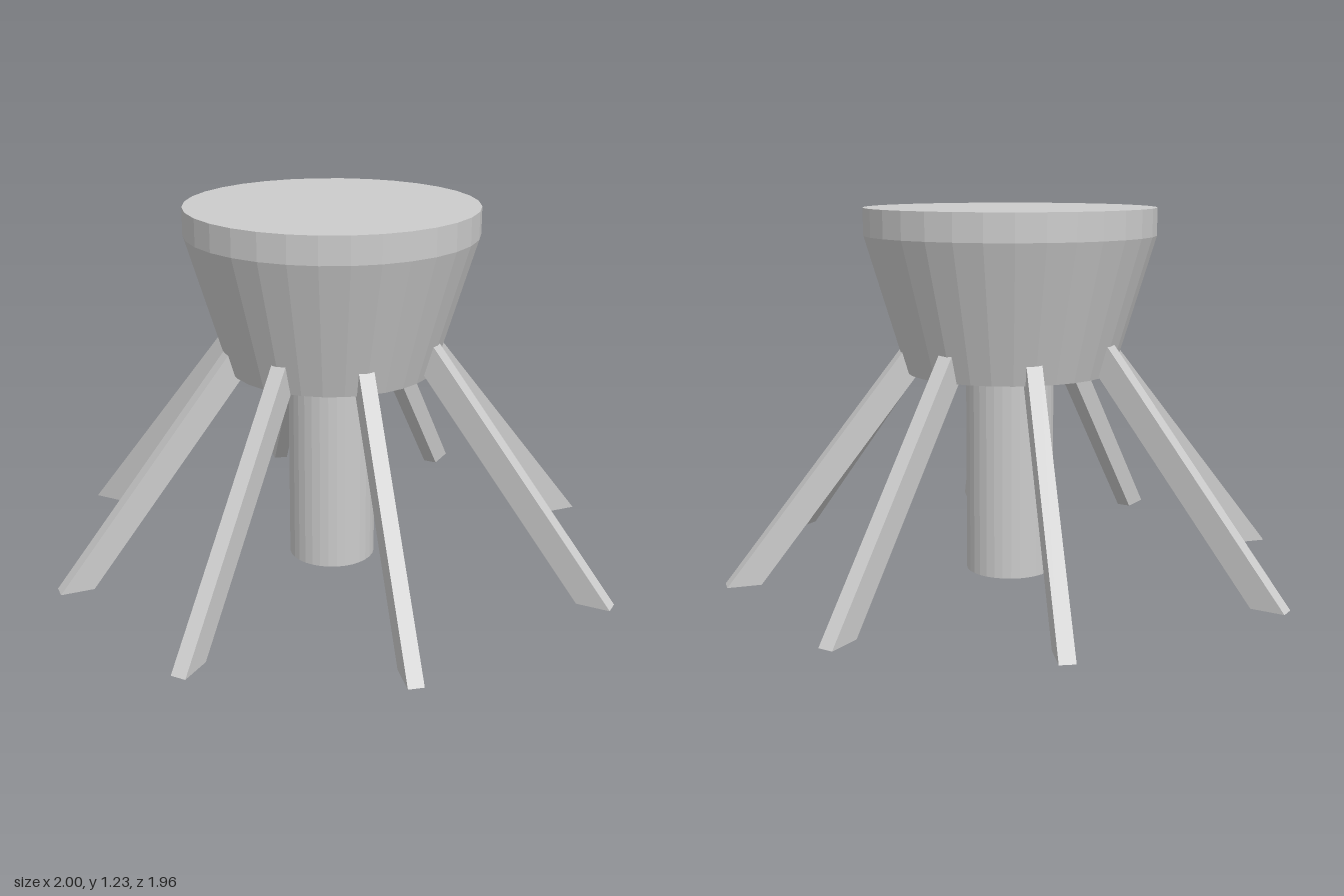
import * as THREE from 'three';

export function createModel() {
  const model = new THREE.Group();
  const material = new THREE.MeshStandardMaterial({ color: 0xcccccc, flatShading: true });
  const centre = -0.006; // tank and column sit a touch off the leg centre
  const sides = 32;

  function add(geometry, name, x, y, z) {
    const mesh = new THREE.Mesh(geometry, material);
    mesh.name = name;
    mesh.position.set(x, y, z);
    model.add(mesh);
    return mesh;
  }

  // Tank: tapered bowl with a straight rim and flat lid
  const profile = [[0, 0.685], [0.347, 0.685], [0.483, 1.135], [0.483, 1.225], [0, 1.225]]
    .map(([r, y]) => new THREE.Vector2(r, y));
  add(new THREE.LatheGeometry(profile, sides), 'tank', centre, 0, centre);

  // Central column
  add(new THREE.CylinderGeometry(0.147, 0.147, 0.69, sides), 'column', centre, 0.345, centre);

  // Slanted leg: sheared bar with level ends, its outer foot edge at the origin
  const height = 0.87, run = height * 0.795, thickness = 0.11, width = 0.05;
  const side = new THREE.Shape([
    new THREE.Vector2(0, 0),
    new THREE.Vector2(-run, height),
    new THREE.Vector2(-run - thickness, height),
    new THREE.Vector2(-thickness, 0),
  ]);
  const legGeometry = new THREE.ExtrudeGeometry(side, { depth: width, bevelEnabled: false });
  legGeometry.translate(0, 0, -width / 2);

  function addLeg(name, x, z, degrees) {
    add(legGeometry, name, x, 0.015, z).rotation.y = THREE.MathUtils.degToRad(degrees);
  }

  // Straight legs
  addLeg('leftLeg', 1, 0, 0);
  addLeg('rightLeg', -1, 0, 180);
  addLeg('frontLeg', 0, 0.978, -90);
  addLeg('backLeg', 0, -0.982, 90);

  // Diagonal legs, mirrored to the four corners
  for (const sx of [1, -1]) {
    for (const sz of [1, -1]) {
      const yaw = sx > 0 ? -50 * sz : -130 * sz;
      addLeg((sz > 0 ? 'front' : 'back') + (sx > 0 ? 'Left' : 'Right') + 'Leg', sx * 0.635, sz * 0.717, yaw);
    }
  }

  return model;
}
